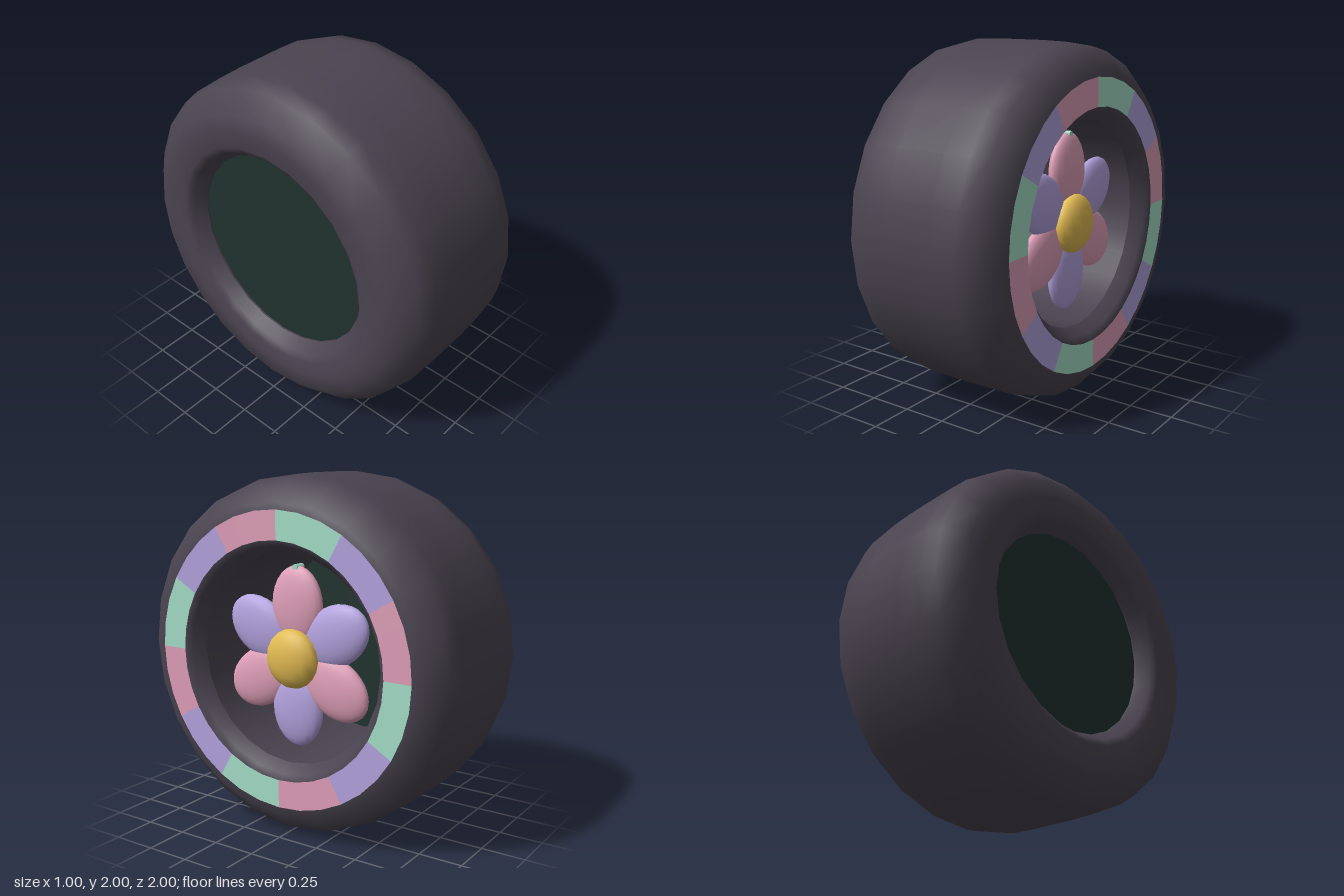
import * as THREE from 'three';

const mat = (name, color, side = THREE.FrontSide) => {
  const m = new THREE.MeshStandardMaterial({ color, side });
  m.name = name;
  return m;
};

export function createModel() {
  const rubber = mat('charcoal rubber', 0x4a4450, THREE.DoubleSide);
  const dark = mat('dark green', 0x22332f, THREE.DoubleSide);
  const mint = mat('mint', 0xa6dec8);
  const purple = mat('lavender', 0xb3a3df);
  const pink = mat('pink', 0xdf9fb8);
  const yellow = mat('yellow', 0xe2bb52);

  const wheel = new THREE.Group();
  wheel.name = 'wheel';
  const add = (parent, name, geometry, material) => {
    const mesh = new THREE.Mesh(geometry, material);
    mesh.name = name;
    parent.add(mesh);
    return mesh;
  };

  // Tyre: half profile [x, radius], mirrored and turned about the axle
  const half = [[0.4, 0.585], [0.47, 0.63], [0.496, 0.67], [0.497, 0.76], [0.5, 0.86], [0.4, 0.97], [0.3, 0.995], [0.15, 1]];
  const profile = [
    ...half.map(([x, r]) => new THREE.Vector2(r, -x)),
    ...half.slice().reverse().map(([x, r]) => new THREE.Vector2(r, x)),
  ];
  add(wheel, 'tyre', new THREE.LatheGeometry(profile, 24).rotateZ(-Math.PI / 2), rubber);

  // Deep rim barrel, closed at the inner side by a dark disc
  add(wheel, 'rimBarrel', new THREE.CylinderGeometry(0.585, 0.585, 0.8, 24, 1, true).rotateZ(-Math.PI / 2), rubber);
  add(wheel, 'backDisc', new THREE.CircleGeometry(0.585, 24).rotateY(-Math.PI / 2).translate(-0.39, 0, 0), dark);

  // Outer face, modelled facing +z and then turned to +x
  const face = new THREE.Group();
  face.name = 'outerFace';
  face.rotation.y = Math.PI / 2;
  wheel.add(face);

  // Coloured blocks around the sidewall, clockwise from the top
  const step = Math.PI / 6;
  for (let k = 0; k < 12; k++) {
    const block = new THREE.RingGeometry(0.66, 0.82, 2, 1, Math.PI / 2 - (k + 1) * step, step);
    add(face, 'sidewallBlock', block.translate(0, 0, 0.501), [mint, purple, pink][k % 3]);
  }

  // Flower: six petals around a domed centre
  for (let k = 0; k < 6; k++) {
    const petal = new THREE.SphereGeometry(1, 20, 14).scale(0.165, 0.22, 0.06);
    petal.translate(0, 0.29, 0.31).rotateZ(-k * Math.PI / 3);
    add(face, 'petal', petal, k % 2 ? purple : pink);
  }
  const centre = new THREE.SphereGeometry(1, 14, 10).scale(0.167, 0.167, 0.083);
  add(face, 'flowerCentre', centre.translate(0, 0, 0.36), yellow);

  // Small valve at the tip of the top petal
  const valve = new THREE.CylinderGeometry(0.018, 0.018, 0.07, 8).rotateX(Math.PI / 2);
  add(face, 'valve', valve.translate(0, 0.5, 0.3), mint);

  wheel.position.y = 1;
  const model = new THREE.Group();
  model.name = 'flowerWheel';
  model.add(wheel);
  return model;
}
